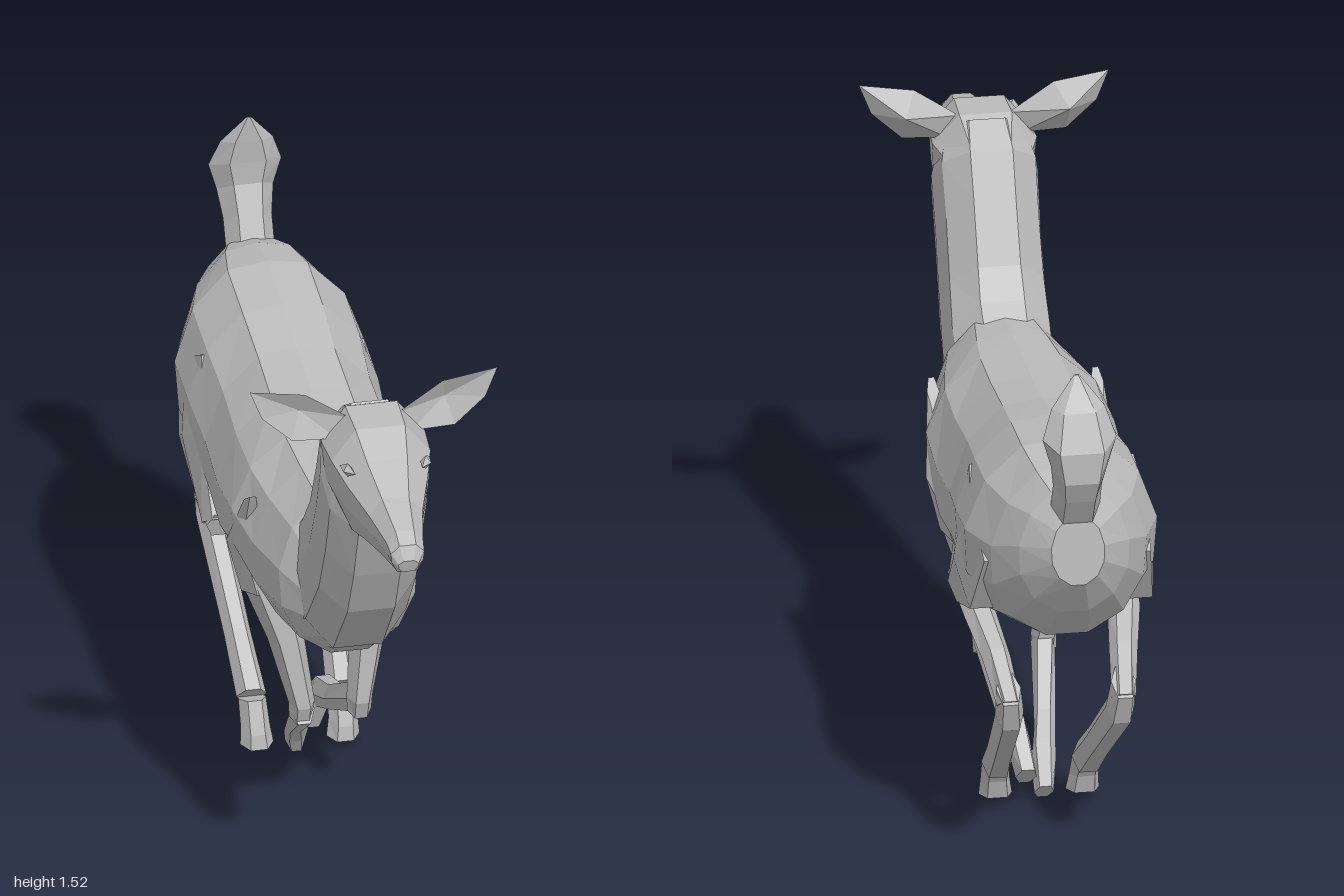
import * as THREE from 'three';

const coat = new THREE.MeshStandardMaterial({ color: 0xbcbcbc });
coat.name = 'grey coat';

// Closed faceted mesh; faces are turned outward by checking the signed volume.
function solid(name, points, faces) {
  const a = new THREE.Vector3();
  let volume = 0;
  for (const [i, j, k] of faces) volume += a.copy(points[i]).cross(points[j]).dot(points[k]);
  const pos = [];
  for (const f of faces) {
    for (const i of volume < 0 ? [f[0], f[2], f[1]] : f) pos.push(...points[i].toArray());
  }
  const geo = new THREE.BufferGeometry();
  geo.setAttribute('position', new THREE.Float32BufferAttribute(pos, 3));
  geo.computeVertexNormals();
  const mesh = new THREE.Mesh(geo, coat);
  mesh.name = name;
  return mesh;
}

// Half sections from top to bottom: [share of half width, share of height]
const BODY = [[0, 0], [0.42, 0.03], [0.8, 0.2], [1, 0.45], [0.97, 0.68], [0.72, 0.88], [0.27, 1]];
const NECK = [[0.4, 0.0], [0.88, 0.2], [1, 0.5], [0.92, 0.8], [0.45, 1]];
const HEAD = [[0.5, 0], [1, 0.28], [0.95, 0.6], [0.6, 0.98]];
const LIMB = [[0.5, 0], [1, 0.45], [0.6, 1]];

// Loft through rings of [zTop, yTop, zBottom, yBottom, halfWidth, xCentre].
function loft(name, section, rings, side = 1) {
  const loop = [
    ...section,
    ...section.filter(([w]) => w > 0).map(([w, t]) => [-w, t]).reverse(),
  ];
  const n = loop.length, points = [], faces = [];
  for (const [z0, y0, z1, y1, hw, cx = 0] of rings) {
    for (const [w, t] of loop) {
      points.push(new THREE.Vector3(side * (cx + w * hw), y0 + (y1 - y0) * t, z0 + (z1 - z0) * t));
    }
  }
  for (let r = 0; r < rings.length - 1; r++) {
    for (let i = 0; i < n; i++) {
      const p = r * n + i, q = r * n + (i + 1) % n;
      faces.push([p, q, q + n], [p, q + n, p + n]);
    }
  }
  const last = (rings.length - 1) * n;
  for (let i = 1; i < n - 1; i++) {
    faces.push([0, i + 1, i], [last, last + i, last + i + 1]);
  }
  return solid(name, points, faces);
}

function ear(side) {
  // Leaf-shaped rim, a ridge behind and a hollow in front
  const rim = [[0.06, 1.42], [0.17, 1.495], [0.305, 1.517], [0.275, 1.44], [0.2, 1.37], [0.09, 1.365]];
  const points = rim.map(([x, y]) => new THREE.Vector3(side * x, y, 0.58));
  points.push(new THREE.Vector3(side * 0.2, 1.45, 0.512), new THREE.Vector3(side * 0.18, 1.44, 0.555));
  const faces = [];
  for (let i = 0; i < 6; i++) {
    const j = (i + 1) % 6;
    faces.push([i, j, 6], [j, i, 7]);
  }
  return solid('ear', points, faces);
}

function eye(side) {
  const mesh = new THREE.Mesh(new THREE.OctahedronGeometry(1), coat);
  mesh.scale.set(0.014, 0.018, 0.03);
  mesh.position.set(side * 0.096, 1.365, 0.735);
  mesh.rotation.y = -side * 0.5;
  mesh.name = 'eye';
  return mesh;
}

function hindLeg(side) {
  const leg = new THREE.Group();
  leg.name = 'hindLeg';
  leg.add(
    loft('thigh', LIMB, [
      [-0.5, 1.0, -0.76, 0.86, 0.03, 0.185],
      [-0.42, 0.83, -0.66, 0.69, 0.05, 0.193],
      [-0.31, 0.65, -0.4, 0.59, 0.035, 0.195],
    ], side),
    loft('shank', LIMB, [
      [-0.31, 0.66, -0.33, 0.595, 0.035, 0.19],
      [-0.52, 0.63, -0.5, 0.57, 0.04, 0.175],
      [-0.65, 0.575, -0.62, 0.51, 0.035, 0.155],
      [-0.775, 0.49, -0.7, 0.44, 0.03, 0.14],
    ], side),
    loft('cannon', LIMB, [
      [-0.7, 0.53, -0.775, 0.48, 0.03, 0.14],
      [-0.69, 0.46, -0.745, 0.4, 0.035, 0.135],
      [-0.45, 0.26, -0.49, 0.2, 0.033, 0.118],
      [-0.32, 0.16, -0.37, 0.1, 0.037, 0.11],
    ], side),
    loft('hoof', LIMB, [
      [-0.3, 0.14, -0.375, 0.12, 0.034, 0.11],
      [-0.27, 0.06, -0.35, 0.08, 0.036, 0.108],
      [-0.265, 0.022, -0.335, 0.03, 0.041, 0.106],
    ], side),
  );
  return leg;
}

function foreLeg(side, kneeX, cannonRings) {
  const leg = new THREE.Group();
  leg.name = 'foreLeg';
  leg.add(
    loft('shoulder', LIMB, [
      [0.11, 0.95, 0.04, 0.9, 0.015, 0.2],
      [0.03, 0.78, -0.12, 0.72, 0.05, 0.185],
      [0.02, 0.62, -0.09, 0.6, 0.06, 0.14],
    ], side),
    loft('forearm', LIMB, [
      [0.02, 0.66, -0.1, 0.66, 0.065, 0.145],
      [0.03, 0.48, -0.065, 0.48, 0.045, (0.13 + kneeX) / 2],
      [0.037, 0.3, -0.04, 0.31, 0.032, kneeX],
      [0.02, 0.25, -0.03, 0.28, 0.03, kneeX],
    ], side),
    loft('cannonAndHoof', LIMB, cannonRings, side),
  );
  return leg;
}

export function createModel() {
  const deer = new THREE.Group();
  deer.name = 'deer';

  deer.add(
    loft('torso', BODY, [
      [0.38, 0.92, 0.38, 0.67, 0.11],
      [0.26, 1.03, 0.29, 0.6, 0.17],
      [0.13, 1.045, 0.13, 0.578, 0.205],
      [0.0, 1.055, 0.0, 0.615, 0.23],
      [-0.17, 1.07, -0.17, 0.55, 0.23],
      [-0.34, 1.09, -0.34, 0.57, 0.225],
      [-0.5, 1.12, -0.5, 0.6, 0.235],
      [-0.68, 1.138, -0.62, 0.61, 0.235],
      [-0.8, 1.12, -0.75, 0.65, 0.19],
      [-0.87, 1.095, -0.86, 0.76, 0.135],
      [-0.92, 1.04, -0.938, 0.865, 0.065],
    ]),
    loft('neck', NECK, [
      [0.18, 0.98, 0.27, 0.61, 0.13],
      [0.28, 1.06, 0.39, 0.67, 0.135],
      [0.33, 1.13, 0.55, 0.86, 0.13],
      [0.4, 1.27, 0.62, 1.0, 0.128],
      [0.455, 1.38, 0.685, 1.16, 0.13],
      [0.53, 1.43, 0.7, 1.2, 0.11],
    ]),
    loft('head', HEAD, [
      [0.47, 1.39, 0.55, 1.2, 0.1],
      [0.55, 1.435, 0.62, 1.155, 0.128],
      [0.66, 1.43, 0.68, 1.158, 0.122],
      [0.74, 1.385, 0.74, 1.172, 0.1],
      [0.84, 1.335, 0.85, 1.19, 0.066],
      [0.95, 1.305, 0.95, 1.205, 0.045],
      [0.985, 1.285, 0.98, 1.21, 0.041],
      [1.0, 1.25, 0.99, 1.215, 0.025],
    ]),
    // Raised tail, flaring before its pointed tip
    loft('tail', LIMB, [
      [-0.83, 1.04, -0.92, 1.02, 0.06],
      [-0.88, 1.15, -0.97, 1.1, 0.06],
      [-0.912, 1.22, -1.0, 1.16, 0.07],
      [-0.912, 1.28, -1.0, 1.24, 0.09],
      [-0.907, 1.34, -0.96, 1.33, 0.065],
      [-0.903, 1.41, -0.908, 1.41, 0.006],
    ]),
    // Forelegs fold under the body by different amounts
    foreLeg(-1, 0.058, [
      [0.03, 0.255, -0.03, 0.315, 0.03, 0.056],
      [-0.19, 0.105, -0.165, 0.18, 0.026, 0.033],
      [-0.25, 0.045, -0.24, 0.125, 0.03, 0.02],
      [-0.28, 0.0, -0.33, 0.05, 0.024, 0.012],
    ]),
    foreLeg(1, 0.085, [
      [0.02, 0.27, -0.03, 0.325, 0.03, 0.085],
      [-0.2, 0.155, -0.19, 0.23, 0.026, 0.062],
      [-0.27, 0.125, -0.27, 0.21, 0.03, 0.05],
      [-0.3, 0.05, -0.36, 0.11, 0.026, 0.035],
    ]),
  );
  for (const side of [-1, 1]) deer.add(ear(side), eye(side), hindLeg(side));
  return deer;
}
